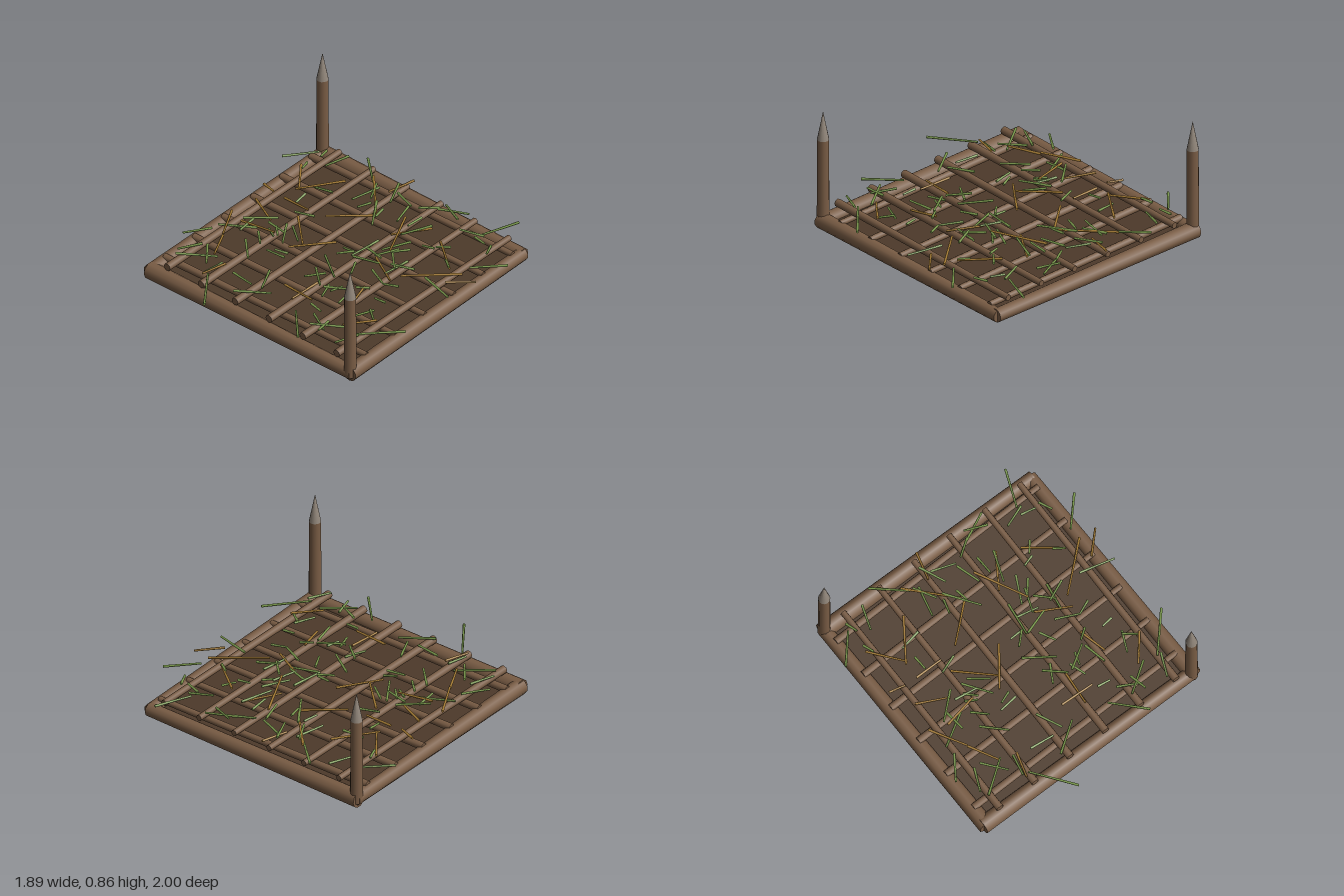
import * as THREE from 'three';

const mat = (name, color) => {
  const m = new THREE.MeshStandardMaterial({ color });
  m.name = name;
  return m;
};

// Straws as x1, z1, x2, z2 in hundredths of a unit
const GREEN = [
  -94, -57, -78, -75, 69, -100, 59, -75, 94, -60, 77, -42, 90, 36, 68, 60,
  -26, 99, -46, 72, 42, 86, 23, 66, 63, -15, 87, -9, -50, -90, -30, -72,
  -16, -81, -8, -63, 20, -77, 39, -86, 37, -77, 22, -83, -24, -71, -29, -50,
  -15, -58, 0, -36, 4, -67, 9, -50, 29, -61, 21, -40, 30, -39, 21, -21,
  14, -26, 11, -3, 42, -22, 39, -3, 12, -3, 30, -9, -51, -3, -68, 12,
  -43, -2, -31, 16, -55, 13, -77, 26, -52, 28, -38, 42, -2, 8, 17, 21,
  3, 23, 16, 34, 19, 34, 35, 24, 59, 57, 39, 71, -76, 69, -54, 53,
  -67, 48, -55, 63, -22, 75, -2, 61, -35, 60, -18, 62, -18, 44, -10, 61,
  -76, 33, -87, 49, 72, -69, 76, -60, 31, 0, 46, 7,
];
const GOLD = [
  -78, -57, -61, -35, -44, -61, -63, -34, -11, -90, -16, -71, -34, -77, -7, -48,
  -7, -45, -30, -25, 10, -57, 27, -22, 30, -60, 15, -37, 44, -52, 67, -34,
  78, -34, 48, -8, 76, -19, 90, -33, -75, -9, -54, 1, -43, -13, -21, 8,
  -7, -9, -26, 16, -79, 10, -66, 34, -66, 34, -56, 54, -67, 15, -43, 10,
  24, -12, 46, 0, 39, 17, 44, 36, 69, 40, 55, 57, -1, 49, 23, 50,
  14, 34, 12, 57, -44, 57, -49, 74, -83, -26, -72, -23, -63, -23, -43, -23,
];

export function createModel() {
  const model = new THREE.Group();
  model.name = 'spikedTrap';
  const wood = mat('wood', 0x7a5d45);
  const earth = mat('darkEarth', 0x4d3a2a);
  const tip = mat('spikeTip', 0x91867a);
  const green = mat('greenStraw', 0x7a994c);
  const gold = mat('goldStraw', 0xa57c35);

  let seed = 7;
  const rand = () => {
    seed = (seed * 16807) % 2147483647;
    return seed / 2147483647;
  };

  // Round tapered bar from point a to point b
  const up = new THREE.Vector3(0, 1, 0);
  const bar = (name, a, b, ra, rb, material, sides = 10) => {
    const start = new THREE.Vector3(...a);
    const dir = new THREE.Vector3(...b).sub(start);
    const mesh = new THREE.Mesh(new THREE.CylinderGeometry(rb, ra, dir.length(), sides), material);
    mesh.name = name;
    mesh.position.copy(start).addScaledVector(dir, 0.5);
    mesh.quaternion.setFromUnitVectors(up, dir.normalize());
    model.add(mesh);
    return mesh;
  };

  // Pit floor
  const floor = new THREE.Mesh(new THREE.BoxGeometry(1.64, 0.03, 1.62), earth);
  floor.name = 'floor';
  floor.position.set(-0.03, 0.045, -0.045);
  model.add(floor);

  // Frame logs
  const y = 0.062;
  bar('backLog', [-0.89, y, -0.885], [0.825, y, -0.885], 0.06, 0.048, wood);
  bar('frontLog', [-0.89, y, 0.79], [0.825, y, 0.79], 0.06, 0.048, wood);
  bar('leftLog', [0.81, y, 0.81], [0.81, y, -0.9], 0.056, 0.046, wood);
  bar('rightLog', [-0.868, y, 0.81], [-0.868, y, -0.9], 0.056, 0.046, wood);

  // Lattice: crossbars below, long poles on top, all slightly askew
  for (let i = 0; i < 6; i++) {
    const z = -0.785 + i * 0.287;
    bar('crossbar', [-0.87, 0.105, z + 0.018], [0.805, 0.105, z - 0.018], 0.026, 0.021, wood, 8);
    const x = -0.732 + i * 0.286;
    bar('latticePole', [x - 0.013, 0.15, 0.79], [x + 0.013, 0.15, -0.88], 0.027, 0.021, wood, 8);
  }

  // Corner posts with sharpened tips
  for (const [x, z] of [[-0.87, -0.885], [0.805, 0.795]]) {
    bar('post', [x, 0.04, z], [x, 0.66, z], 0.042, 0.039, wood, 12);
    bar('postTip', [x, 0.655, z], [x, 0.86, z], 0.04, 0, tip, 12);
  }

  // Scattered straw
  const straw = (name, x1, z1, x2, z2, material) => {
    const h = 0.187 + rand() * 0.014;
    const tilt = (rand() - 0.5) * 0.014;
    bar(name, [x1, h - tilt, z1], [x2, h + tilt, z2], 0.009, 0.007, material, 5);
  };
  const scatter = (name, list, material) => {
    for (let i = 0; i < list.length; i += 4) {
      straw(name, ...list.slice(i, i + 4).map((v) => v / 100), material);
    }
  };
  scatter('greenStraw', GREEN, green);
  scatter('goldStraw', GOLD, gold);
  for (let i = 0; i < 48; i++) {
    const x = -0.03 + (rand() - 0.5) * 1.45;
    const z = -0.04 + (rand() - 0.5) * 1.45;
    const a = rand() * Math.PI;
    const l = 0.04 + rand() * 0.05;
    const dx = Math.cos(a) * l;
    const dz = Math.sin(a) * l;
    straw('shortStraw', x - dx, z - dz, x + dx, z + dz, green);
  }
  return model;
}
